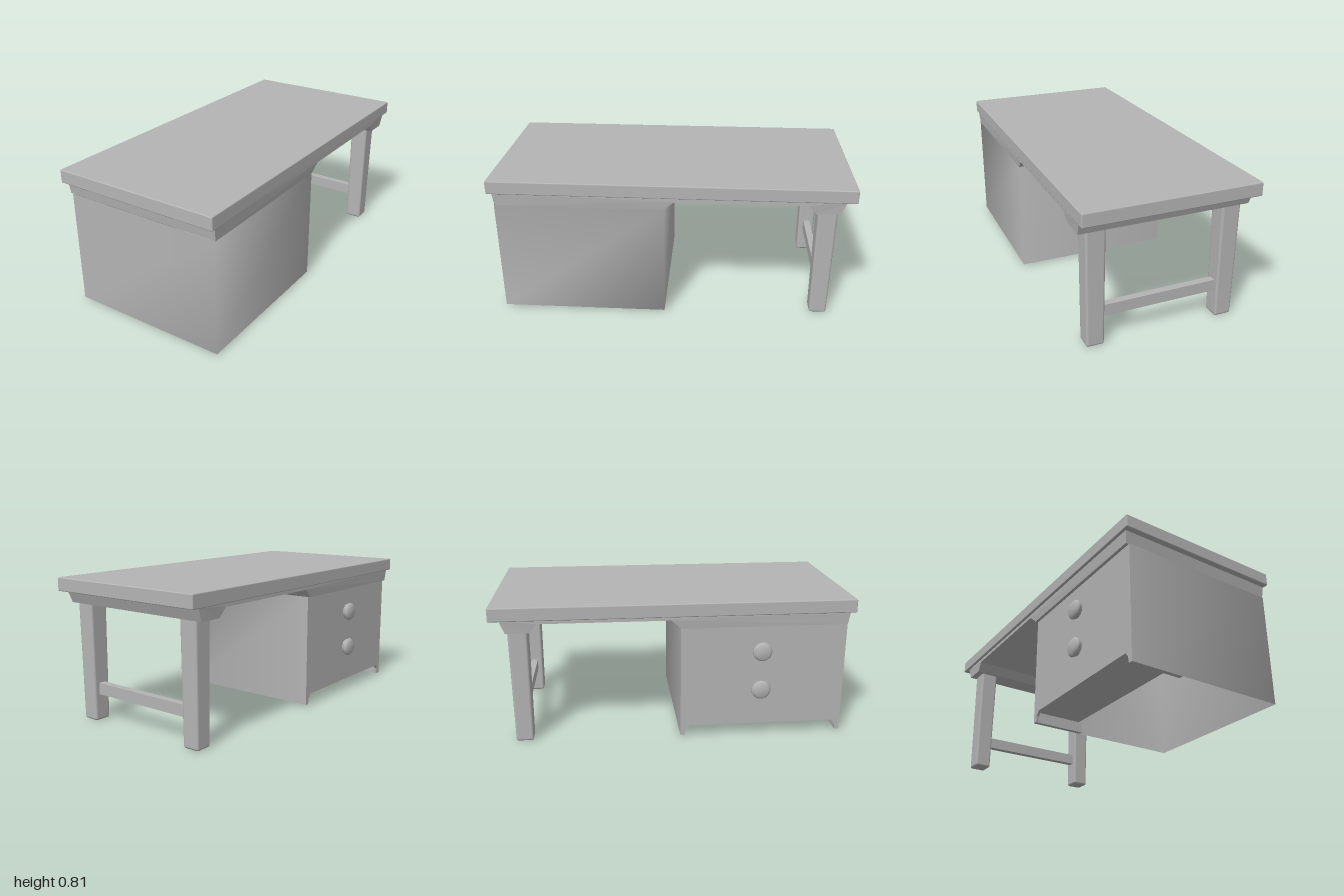
import * as THREE from 'three';
import { RoundedBoxGeometry } from 'three/addons/geometries/RoundedBoxGeometry.js';

const grey = new THREE.MeshStandardMaterial({ color: 0xb4b4b4, side: THREE.DoubleSide });
grey.name = 'plain grey';

export function createModel() {
  const desk = new THREE.Group();
  desk.name = 'desk';

  const add = (name, geometry, x = 0, y = 0, z = 0) => {
    const mesh = new THREE.Mesh(geometry, grey);
    mesh.name = name;
    mesh.position.set(x, y, z);
    desk.add(mesh);
    return mesh;
  };
  // Box given by its limits on each axis
  const box = (name, x0, x1, y0, y1, z0, z1) =>
    add(name, new THREE.BoxGeometry(x1 - x0, y1 - y0, z1 - z0),
      (x0 + x1) / 2, (y0 + y1) / 2, (z0 + z1) / 2);
  // Side outline of (z, y) points, extruded from x1 down to x0
  const sideExtrude = (points, x0, x1) => {
    const shape = new THREE.Shape(points.map(p => new THREE.Vector2(...p)));
    return new THREE.ExtrudeGeometry(shape, { depth: x1 - x0, bevelEnabled: false })
      .rotateY(-Math.PI / 2).translate(x1, 0, 0);
  };

  // Table top with softened edges
  add('tableTop', new RoundedBoxGeometry(0.976, 0.075, 2, 2, 0.006), 0, 0.768, 0);

  // Apron: deep over the cabinet and legs, shallow over the knee space
  const apron = sideExtrude([
    [0.97, 0.735], [0.96, 0.66], [0.03, 0.66], [-0.025, 0.71],
    [-0.745, 0.71], [-0.785, 0.66], [-0.915, 0.66], [-0.945, 0.735],
  ], -0.473, 0.481);
  const ap = apron.attributes.position;
  for (let i = 0; i < ap.count; i++) {
    if (ap.getY(i) < 0.7) ap.setX(i, ap.getX(i) * 0.988);
  }
  apron.computeVertexNormals();
  add('apron', apron);

  // Cabinet shell: three thin walls sharing corners, softly shaded, open below
  const plan = [[-0.45, 0.965], [0.475, 0.965], [0.475, 0.03], [-0.45, 0.03]];
  const verts = plan.flatMap(([x, z]) => [x, 0.01, z, x, 0.662, z]);
  const faces = [];
  for (let i = 0; i < 3; i++) {
    const a = i * 2;
    faces.push(a, a + 2, a + 3, a, a + 3, a + 1);
  }
  const shell = new THREE.BufferGeometry();
  shell.setAttribute('position', new THREE.Float32BufferAttribute(verts, 3));
  shell.setIndex(faces);
  shell.computeVertexNormals();
  add('cabinetWalls', shell);

  // Drawer front with small bracket feet at both ends
  add('drawerFront', sideExtrude([
    [0.03, 0.01], [0.055, 0.01], [0.06, 0.045], [0.08, 0.07],
    [0.915, 0.07], [0.935, 0.045], [0.94, 0.01], [0.965, 0.01], [0.965, 0.66], [0.03, 0.66],
  ], -0.45, -0.435));
  box('cabinetShelf', -0.436, -0.17, 0.07, 0.08, 0.035, 0.96);
  box('rearFootRail', -0.436, -0.15, 0.01, 0.07, 0.031, 0.055);
  box('frontFootRail', -0.436, -0.15, 0.01, 0.07, 0.94, 0.964);

  // Round drawer knobs
  const knobProfile = [[0.045, 0], [0.05, 0.012], [0.055, 0.02], [0.053, 0.027], [0.038, 0.041], [0, 0.042]]
    .map(p => new THREE.Vector2(...p));
  for (const y of [0.285, 0.513]) {
    const knob = add('drawerKnob', new THREE.LatheGeometry(knobProfile, 20), -0.45, y, 0.485);
    knob.rotation.z = Math.PI / 2;
  }

  // Tapered legs with rounded edges
  for (const x of [-0.373, 0.38]) {
    const leg = new RoundedBoxGeometry(0.112, 0.68, 0.112, 2, 0.014);
    const p = leg.attributes.position;
    for (let i = 0; i < p.count; i++) {
      const s = 0.9 + 0.1 * (p.getY(i) + 0.34) / 0.68;
      p.setX(i, p.getX(i) * s * 0.97);
      p.setZ(i, p.getZ(i) * s * 0.97);
    }
    add('leg', leg, x, 0.34, -0.857);
  }
  // Stretcher between the legs
  box('stretcher', -0.35, 0.35, 0.15, 0.215, -0.877, -0.837);

  return desk;
}
